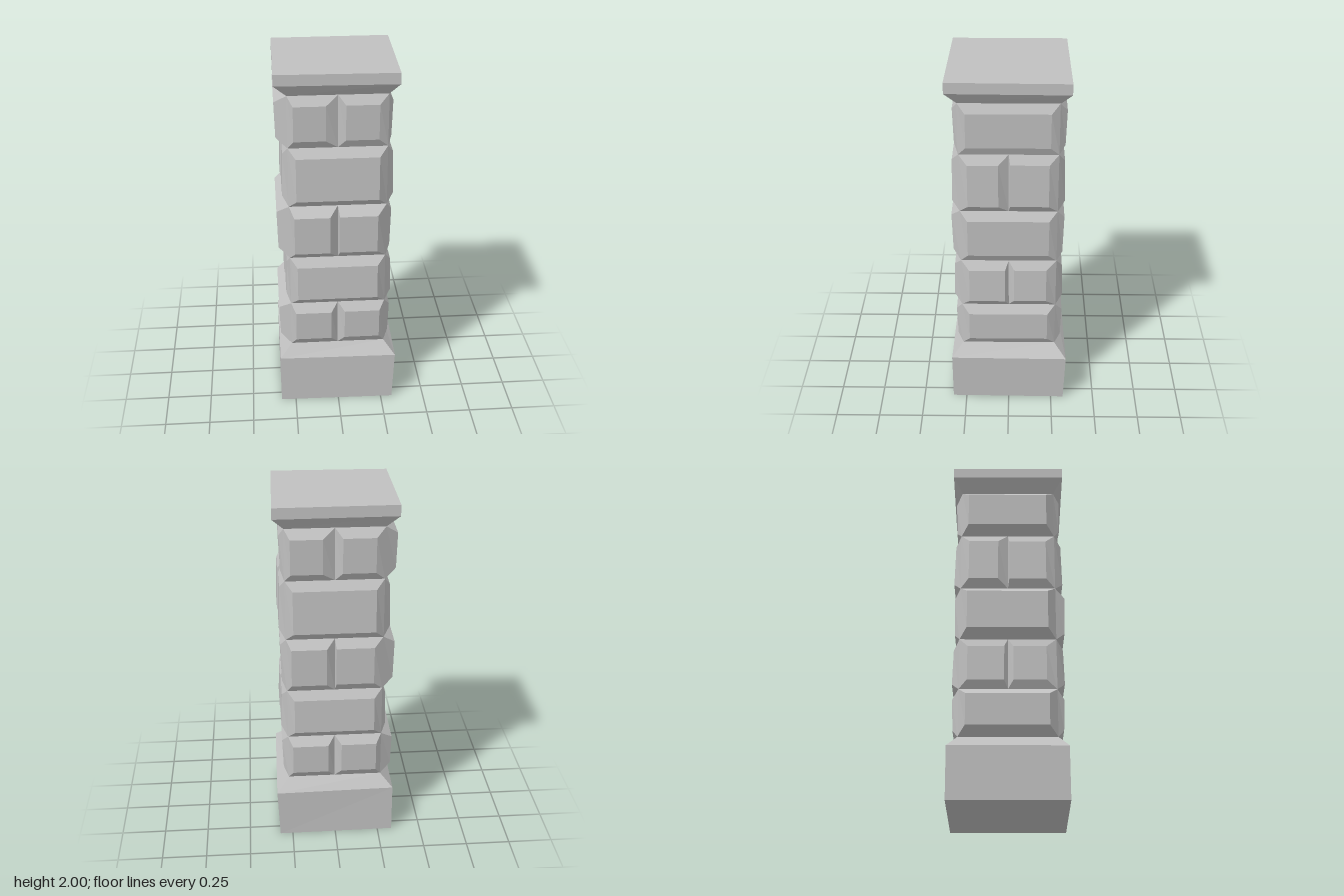
import * as THREE from 'three';

const HALF = 0.265; // half width of the masonry core

// Joins four-cornered rings (counter-clockwise seen from the tip) and closes both ends.
function loft(rings) {
  const pos = [];
  const quad = (a, b, c, d) => [a, b, c, a, c, d].forEach((p) => pos.push(...p));
  for (let r = 0; r + 1 < rings.length; r++) {
    const lo = rings[r], hi = rings[r + 1];
    for (let i = 0; i < 4; i++) {
      const j = (i + 1) % 4;
      quad(lo[i], lo[j], hi[j], hi[i]);
    }
  }
  quad(...rings[rings.length - 1]);
  quad(...[...rings[0]].reverse());
  const geometry = new THREE.BufferGeometry();
  geometry.setAttribute('position', new THREE.Float32BufferAttribute(pos, 3));
  geometry.computeVertexNormals();
  return geometry;
}

// Horizontal ring from x, z pairs: front left, front right, back right, back left.
const level = (y, corners) => corners.map(([x, z]) => [x, y, z]);
const square = (h) => [[-h, h], [h, h], [h, -h], [-h, -h]];

// Bevelled stone on a +z wall: [u0, u1, inset at u0, inset at u1], raised by depth.
function stoneGeometry([u0, u1, in0, in1], y0, y1, depth, lean) {
  const z = HALF + depth;
  const ring = (a, b, c, d, zLow, zHigh) => [[a, c, zLow], [b, c, zLow], [b, d, zHigh], [a, d, zHigh]];
  return loft([
    ring(u0, u1, y0, y1, HALF - 0.02, HALF - 0.02),
    ring(u0, u1, y0, y1, HALF, HALF),
    ring(u0 + in0, u1 - in1, y0 + 0.045, y1 - 0.05, z + lean, z - lean),
  ]);
}

export function createModel() {
  const group = new THREE.Group();
  const stone = new THREE.MeshStandardMaterial({ color: 0xc0c0c0, flatShading: true });
  stone.name = 'grey stone';
  const add = (name, geometry, parent = group) => {
    const mesh = new THREE.Mesh(geometry, stone);
    mesh.name = name;
    parent.add(mesh);
    return mesh;
  };

  // Slightly uneven plinth with sloping shoulders
  add('plinth', loft([
    level(0, [[-0.333, 0.318], [0.315, 0.328], [0.322, -0.322], [-0.333, -0.318]]),
    level(0.29, [[-0.333, 0.318], [0.328, 0.329], [0.335, -0.332], [-0.333, -0.32]]),
    level(0.36, square(HALF)),
  ]));

  add('core', loft([level(0.36, square(HALF)), level(1.87, square(HALF))]));

  // Cap slab flaring out of the core
  const slab = [[-0.333, 0.316], [0.314, 0.328], [0.325, -0.322], [-0.331, -0.315]];
  add('cap', loft([level(1.87, square(HALF)), level(1.94, slab), level(2, slab)]));

  // Courses alternate between one long stone and two short ones on each wall
  const joints = [0.36, 0.63, 0.925, 1.24, 1.58, 1.87];
  const long = [[-HALF, HALF, 0.04, 0.045]];
  const pairs = [
    [[-HALF, 0, 0.027, 0.038], [0, HALF, 0.038, 0.03]],
    [[-HALF, 0, 0.045, 0.02], [0, HALF, 0.03, 0.055]],
    [[-HALF, 0, 0.027, 0.045], [0, HALF, 0.008, 0.05]],
    [[-HALF, 0, 0.045, 0.055], [0, HALF, 0.008, 0.05]],
    [[-HALF, 0, 0.03, 0.065], [0, HALF, 0.04, 0.05]],
  ];
  const walls = [
    { name: 'front', angle: 0, splitOn: 0, depth: [0.035, 0.04, 0.05, 0.04, 0.03] },
    { name: 'right', angle: Math.PI / 2, splitOn: 1, depth: [0.03, 0.035, 0.028, 0.035, 0.023] },
    { name: 'back', angle: Math.PI, splitOn: 0, depth: [0.035, 0.035, 0.035, 0.035, 0.035] },
    { name: 'left', angle: -Math.PI / 2, splitOn: 1, depth: [0.064, 0.025, 0.064, 0.035, 0.064] },
  ];
  for (const { name, angle, splitOn, depth } of walls) {
    const wall = new THREE.Group();
    wall.name = name + 'Wall';
    wall.rotation.y = angle;
    group.add(wall);
    for (let c = 0; c < 5; c++) {
      const stones = c % 2 === splitOn ? pairs[c] : long;
      stones.forEach((span, i) => {
        const lean = 0.003 * (c % 2 ? 1 : -1);
        add('stone', stoneGeometry(span, joints[c], joints[c + 1], depth[c] - 0.004 * i, lean), wall);
      });
    }
  }
  return group;
}
